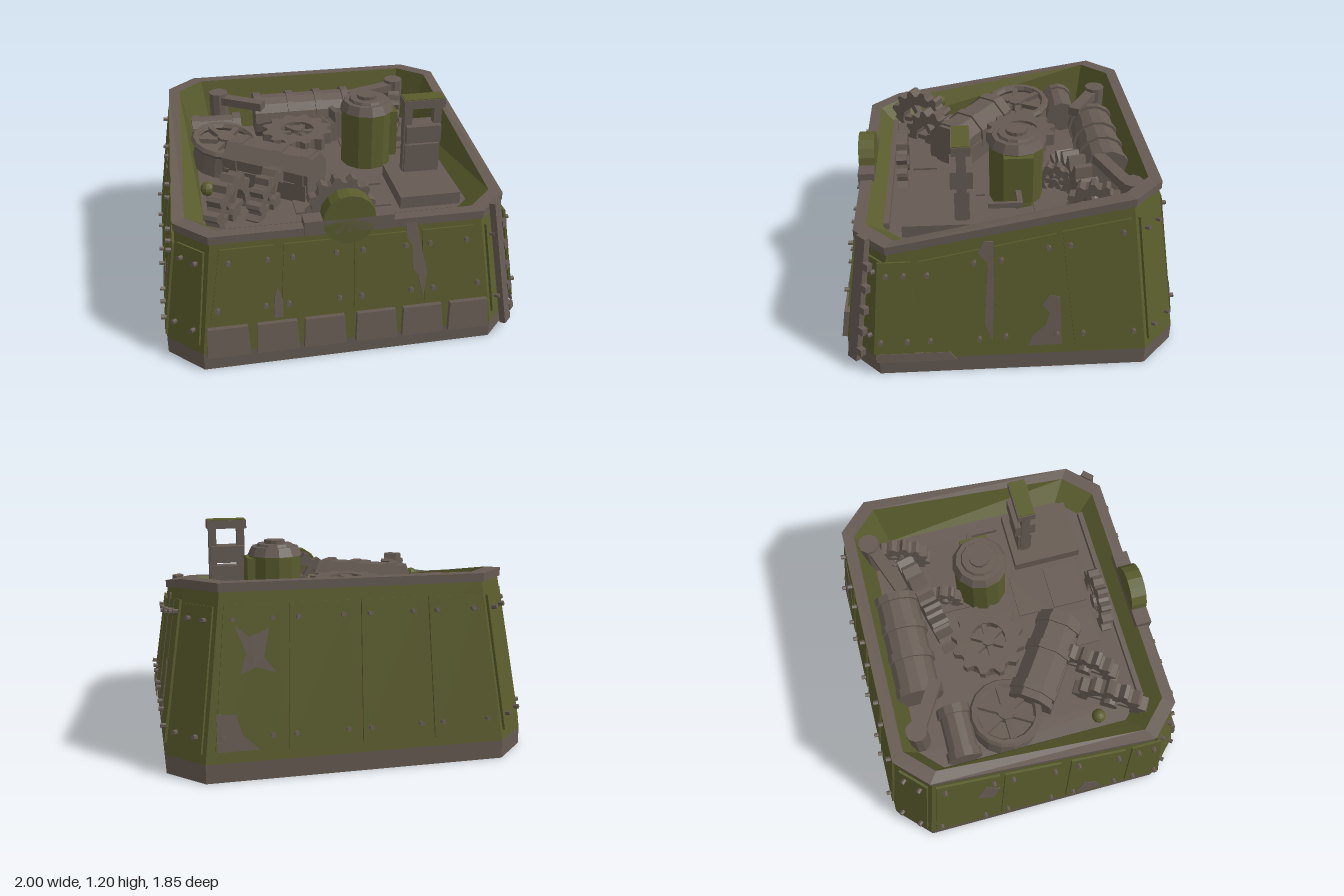
import * as THREE from 'three';

const mat = (name, color) => Object.assign(new THREE.MeshStandardMaterial({ color }), { name });

export function createModel() {
  const root = new THREE.Group();
  root.name = 'armouredHull';
  const olive = mat('olive paint', 0x5a5c2d);
  const brown = mat('bare brown metal', 0x665b53);
  const FLOOR = 0.68;

  const add = (name, geo, m, pos = [0, 0, 0], rot = [0, 0, 0], parent = root) => {
    const flat = geo.index ? geo.toNonIndexed() : geo;
    flat.computeVertexNormals();
    const mesh = new THREE.Mesh(flat, m);
    mesh.name = name;
    mesh.position.set(...pos);
    mesh.rotation.set(...rot);
    parent.add(mesh);
    return mesh;
  };
  const box = (name, size, m, pos, rot, parent) => add(name, new THREE.BoxGeometry(...size), m, pos, rot, parent);
  const cyl = (name, r0, r1, h, n, m, pos, rot, parent) =>
    add(name, new THREE.CylinderGeometry(r0, r1, h, n), m, pos, rot, parent);
  const group = (name, pos, rot = [0, 0, 0]) => {
    const g = new THREE.Group();
    g.name = name;
    g.position.set(...pos);
    g.rotation.set(...rot);
    root.add(g);
    return g;
  };

  // Eight-cornered cross-section of the tapering hull; front and back heights may differ
  const ring = (yFront, yBack, inset = 0, lift = 0) => {
    const half = (y) => {
      const s = Math.max(0, y - 0.1);
      return [0.975 - 0.15 * s - inset, 0.9 - 0.15 * s - inset, 0.185 - 0.03 * s - inset * 0.3];
    };
    const [fx, fz, fc] = half(yFront), [bx, bz, bc] = half(yBack);
    const f = yFront + lift, b = yBack + lift;
    return [[-fx + fc, f, fz], [fx - fc, f, fz], [fx, f, fz - fc], [bx, b, -bz + bc],
      [bx - bc, b, -bz], [-bx + bc, b, -bz], [-bx, b, -bz + bc], [-fx, f, fz - fc]];
  };
  const loft = (name, rings, m, cap) => {
    const p = [];
    for (let k = 0; k + 1 < rings.length; k++) {
      for (let i = 0; i < 8; i++) {
        const j = (i + 1) % 8, a = rings[k], b = rings[k + 1];
        p.push(...a[i], ...a[j], ...b[j], ...a[i], ...b[j], ...b[i]);
      }
    }
    if (cap) {
      for (let i = 1; i < 7; i++) {
        const tri = [cap[0], cap[i], cap[i + 1]];
        if (cap === rings[0]) tri.reverse();
        p.push(...tri.flat());
      }
    }
    const g = new THREE.BufferGeometry();
    g.setAttribute('position', new THREE.Float32BufferAttribute(p, 3));
    return add(name, g, m);
  };

  // Hull shell, rim, lining and deck
  const bottom = ring(0, 0), skirt = ring(0.1, 0.1), top = ring(0.745, 0.965);
  loft('baseSkirt', [bottom, skirt], brown, bottom);
  loft('hullWall', [skirt, top], olive);
  const rimIn = ring(0.745, 0.965, 0.05, 0.025);
  loft('rim', [top, ring(0.745, 0.965, -0.014, -0.02), ring(0.745, 0.965, -0.014, 0.025), rimIn], brown);
  const deck = ring(FLOOR, FLOOR, 0.16);
  loft('innerLining', [rimIn, deck], olive);
  loft('deck', [deck], brown, deck.slice());

  // Local frame on each wall face: t runs along the wall, y is height
  const lo = ring(0.1, 0.1), hi = ring(0.9, 0.9);
  const faces = lo.map((_, i) => {
    const j = (i + 1) % 8, v = (a) => new THREE.Vector3(...a);
    const m0 = v(lo[i]).add(v(lo[j])).multiplyScalar(0.5);
    const up = v(hi[i]).add(v(hi[j])).multiplyScalar(0.5).sub(m0);
    const k = up.length() / 0.8;
    up.normalize();
    const along = v(lo[j]).sub(v(lo[i])).normalize();
    const g = new THREE.Group();
    g.name = 'wallFittings' + i;
    g.applyMatrix4(new THREE.Matrix4().makeBasis(along, up, along.clone().cross(up)).setPosition(m0));
    root.add(g);
    return { g, k };
  });
  const plate = (name, f, pts, m, depth = 0.013, off = 0) => {
    const { g, k } = faces[f];
    const s = new THREE.Shape(pts.map(([t, y]) => new THREE.Vector2(t, (y - 0.1) * k)));
    add(name, new THREE.ExtrudeGeometry(s, { depth, bevelEnabled: false }), m, [0, 0, off], [0, 0, 0], g);
  };
  // Armour panel: lower and upper t range, lower y, upper y at each end, with corner bolts
  const panel = (f, a0, a1, b0, b1, y0, yA, yB = yA) => {
    const pts = [[a0, y0], [a1, y0], [b1, yB], [b0, yA]];
    plate('armourPanel', f, pts, olive);
    pts.forEach(([t, y], i) => {
      const bt = t + (i === 0 || i === 3 ? 0.04 : -0.04), by = y + (i < 2 ? 0.08 : -0.07);
      cyl('bolt', 0.013, 0.013, 0.04, 6, brown, [bt, (by - 0.1) * faces[f].k, 0.02], [Math.PI / 2, 0, 0], faces[f].g);
    });
  };
  [[-0.74, -0.41, -0.67, -0.39], [-0.37, -0.02, -0.34, -0.03], [0.02, 0.37, 0.03, 0.34], [0.41, 0.74, 0.39, 0.67]]
    .forEach((p) => { panel(0, ...p, 0.28, 0.69); panel(4, ...p, 0.15, 0.88); });
  [[-0.74, -0.52, -0.69, -0.52, 0.14, 0.68, 0.68], [-0.48, -0.14, -0.48, -0.16, 0.14, 0.68, 0.74],
    [-0.08, 0.27, -0.1, 0.22, 0.15, 0.75, 0.81], [0.33, 0.68, 0.25, 0.6, 0.15, 0.82, 0.88]]
    .forEach(([a, b, c, d, y, l, r]) => { panel(2, a, b, c, d, y, l, r); panel(6, -b, -a, -d, -c, y, r, l); });
  [1, 3, 5, 7].forEach((f) => panel(f, -0.105, 0.105, -0.09, 0.09, 0.15, f === 1 || f === 7 ? 0.67 : 0.87));
  for (const x of [-0.655, -0.395, -0.14, 0.14, 0.395, 0.655]) {
    plate('lowerGuardPlate', 0, [[x - 0.115, 0.09], [x + 0.115, 0.09], [x + 0.105, 0.255], [x - 0.105, 0.255]], brown, 0.03);
  }

  // Worn patches where the paint is gone
  const patch = (f, pts) => plate('wornPatch', f, pts, brown, 0.009, 0.0065);
  patch(0, [[0.3, 0.74], [0.31, 0.66], [0.34, 0.6], [0.34, 0.48], [0.37, 0.44], [0.4, 0.3], [0.42, 0.45], [0.39, 0.58], [0.36, 0.74]]);
  patch(0, [[-0.41, 0.28], [-0.36, 0.28], [-0.36, 0.38], [-0.385, 0.46], [-0.4, 0.4]]);
  patch(2, [[0.08, 0.16], [0.26, 0.16], [0.245, 0.45], [0.19, 0.46], [0.15, 0.4], [0.19, 0.36], [0.17, 0.28], [0.1, 0.22]]);
  patch(2, [[-0.15, 0.3], [-0.11, 0.2], [-0.1, 0.5], [-0.1, 0.78], [-0.15, 0.78], [-0.18, 0.72], [-0.13, 0.66]]);
  patch(2, [[-0.73, 0.09], [-0.3, 0.09], [-0.34, 0.14], [-0.73, 0.14]]);
  patch(4, [[-0.62, 0.78], [-0.55, 0.72], [-0.45, 0.76], [-0.48, 0.62], [-0.42, 0.54], [-0.52, 0.57], [-0.6, 0.54], [-0.57, 0.64]]);
  patch(4, [[-0.73, 0.35], [-0.73, 0.16], [-0.52, 0.16], [-0.6, 0.24], [-0.63, 0.34]]);
  patch(6, [[0.2, 0.16], [0.36, 0.16], [0.33, 0.26], [0.25, 0.3]]);
  patch(6, [[-0.4, 0.55], [-0.3, 0.5], [-0.26, 0.62], [-0.34, 0.7]]);

  // Toothed bar down the front corner
  const bar = faces[1].g;
  box('cornerBar', [0.07, 0.74, 0.035], brown, [-0.02, 0.32, 0.04], [0, 0, 0], bar);
  for (let i = 0; i < 5; i++) box('cornerBarTooth', [0.045, 0.04, 0.035], brown, [0.03, 0.02 + i * 0.13, 0.045], [0, 0, 0], bar);

  // Front lamp disc on its bracket
  box('lampBracket', [0.47, 0.08, 0.09], brown, [0, 0.77, 0.785]);
  cyl('lampDisc', 0.14, 0.14, 0.09, 16, olive, [0, 0.8, 0.785], [Math.PI / 2, 0, 0]);

  // Deck plates and ledges
  for (const [x, z, w, d] of [[0.17, 0.2, 0.26, 0.17], [0.17, 0.43, 0.26, 0.2], [-0.12, 0.46, 0.22, 0.14], [0.4, -0.25, 0.45, 0.2]]) {
    box('deckPlate', [w, 0.012, d], brown, [x, FLOOR + 0.006, z]);
  }
  box('frontLedge', [1.2, 0.04, 0.03], brown, [0, FLOOR + 0.02, 0.655]);

  // Turret drum with cap
  const drum = group('turretDrum', [0.29, 0, -0.06]);
  cyl('drumBody', 0.15, 0.15, 0.36, 12, olive, [0, 0.85, 0], [0, 0, 0], drum);
  cyl('drumCollar', 0.135, 0.16, 0.05, 12, brown, [0, 1.045, 0], [0, 0, 0], drum);
  cyl('drumCap', 0.1, 0.11, 0.02, 12, brown, [0, 1.075, 0], [0, 0, 0], drum);
  cyl('drumKnob', 0.06, 0.06, 0.03, 12, brown, [0, 1.09, 0], [0, 0, 0], drum);
  box('drumHatch', [0.06, 0.28, 0.16], olive, [0.14, 0.87, 0], [0, 0, 0], drum);
  box('drumBracket', [0.15, 0.03, 0.03], brown, [0.22, 0.8, 0], [0, 0, 0], drum);
  box('drumBracketArm', [0.02, 0.03, 0.18], brown, [0.29, 0.8, 0.08], [0, 0, 0], drum);

  // Periscope on its box
  const scope = group('periscope', [0.535, 0, 0.25]);
  box('periscopeBase', [0.34, 0.07, 0.4], brown, [-0.025, FLOOR + 0.035, 0.12], [0, 0, 0], scope);
  for (const s of [-1, 1]) box('periscopePost', [0.045, 0.45, 0.05], brown, [s * 0.085, 0.95, 0], [0, 0, 0], scope);
  box('periscopeHead', [0.235, 0.05, 0.1], brown, [0, 1.17, 0], [0, 0, 0], scope);
  box('periscopeHeadPaint', [0.225, 0.006, 0.09], olive, [0, 1.197, 0], [0, 0, 0], scope);
  box('periscopeEyepiece', [0.2, 0.1, 0.12], brown, [0, 0.99, 0], [0, 0, 0], scope);
  box('periscopeFoot', [0.2, 0.18, 0.08], brown, [0, 0.83, 0], [0, 0, 0], scope);

  // Rear tank with bands, and its end struts
  const side = [0, 0, Math.PI / 2];
  cyl('rearTank', 0.13, 0.13, 0.6, 14, brown, [-0.03, 0.79, -0.58], side);
  for (const x of [-0.31, -0.1, 0.08, 0.26]) cyl('tankBand', 0.145, 0.145, 0.045, 14, brown, [x, 0.79, -0.58], side);
  cyl('smallTank', 0.085, 0.085, 0.29, 12, brown, [-0.58, 0.79, -0.41], side);
  for (const x of [-0.71, -0.46]) cyl('smallTankRing', 0.097, 0.097, 0.05, 12, brown, [x, 0.79, -0.41], side);
  for (const [x, z, ax, az, turn] of [[-0.55, -0.63, -0.43, -0.55, -0.55], [0.61, -0.65, 0.44, -0.58, 0.35]]) {
    cyl('strutPost', 0.06, 0.06, 0.27, 10, brown, [x, 0.81, z]);
    box('strutArm', [0.34, 0.05, 0.07], brown, [ax, 0.9, az], [0, turn, 0]);
  }

  // Gears
  const gear = (name, r, n, depth, hole, pos, rot) => {
    const s = new THREE.Shape();
    for (let i = 0; i < n * 4; i++) {
      const a = ((i + 0.5) / (n * 4)) * Math.PI * 2, q = i % 4 < 2 ? r : r * 0.84;
      s[i ? 'lineTo' : 'moveTo'](Math.cos(a) * q, Math.sin(a) * q);
    }
    if (hole) s.holes.push(new THREE.Path().absarc(0, 0, hole, 0, Math.PI * 2, true));
    const g = group(name, pos, rot);
    add(name + 'Rim', new THREE.ExtrudeGeometry(s, { depth, bevelEnabled: false, curveSegments: 8 }), brown, [0, 0, -depth / 2], [0, 0, 0], g);
    if (hole) {
      for (let i = 0; i < 3; i++) box(name + 'Spoke', [hole * 2.05, 0.03, depth * 0.6], brown, [0, 0, 0], [0, 0, i * Math.PI / 3], g);
      cyl(name + 'Hub', hole * 0.4, hole * 0.4, depth * 1.2, 10, brown, [0, 0, 0], [Math.PI / 2, 0, 0], g);
    }
  };
  const lie = -Math.PI / 2;
  gear('flatGear', 0.21, 12, 0.07, 0.1, [-0.12, 0.85, -0.12], [lie, 0, 0]);
  cyl('flatGearMount', 0.13, 0.16, 0.15, 10, brown, [-0.12, 0.75, -0.12]);
  gear('leftGear', 0.22, 14, 0.08, 0.13, [-0.59, 0.71, 0.48], [0, 1.02, 0]);
  gear('innerLeftGear', 0.2, 14, 0.08, 0.12, [-0.36, 0.7, 0.4], [0, 0.97, 0]);
  gear('frontGear', 0.19, 12, 0.06, 0.11, [0, 0.74, 0.585], [0, 0, 0]);
  gear('rightGear', 0.16, 12, 0.07, 0.09, [0.57, 0.76, -0.47], [0, 1.3, 0]);
  gear('smallRightGear', 0.11, 10, 0.06, 0.06, [0.25, 0.74, -0.29], [0, 1.25, 0]);
  gear('bigRearGear', 0.4, 24, 0.1, 0, [0.28, 0.5, -0.41], [0, 0.24, 0]);

  // Spoked handwheel
  const wheel = group('handwheel', [-0.55, 0.84, -0.13], [0.08, 0, -0.12]);
  add('handwheelRim', new THREE.TorusGeometry(0.18, 0.025, 6, 16), brown, [0, 0, 0], [lie, 0, 0], wheel);
  for (let i = 0; i < 3; i++) box('handwheelSpoke', [0.36, 0.03, 0.035], brown, [0, 0, 0], [0, i * Math.PI / 3, 0], wheel);
  cyl('handwheelHub', 0.05, 0.05, 0.06, 10, brown, [0, 0, 0], [0, 0, 0], wheel);
  cyl('handwheelDrum', 0.18, 0.19, 0.12, 16, brown, [0, -0.09, 0], [0, 0, 0], wheel);

  // Gearbox lying diagonally
  const gb = group('gearbox', [-0.3, 0.8, 0.17], [0, -0.62, 0]);
  cyl('gearboxBody', 0.13, 0.13, 0.54, 8, brown, [0, 0, 0], [Math.PI / 8, 0, Math.PI / 2], gb);
  for (const x of [-0.2, 0.05, 0.22]) cyl('gearboxBand', 0.142, 0.142, 0.05, 8, brown, [x, 0, 0], [Math.PI / 8, 0, Math.PI / 2], gb);
  box('gearboxSump', [0.52, 0.12, 0.26], brown, [0, -0.07, 0], [0, 0, 0], gb);

  // Lever with knob
  cyl('leverStem', 0.012, 0.012, 0.12, 6, brown, [-0.69, 0.73, 0.37]);
  add('leverKnob', new THREE.SphereGeometry(0.04, 10, 8), olive, [-0.69, 0.8, 0.37]);

  return root;
}
